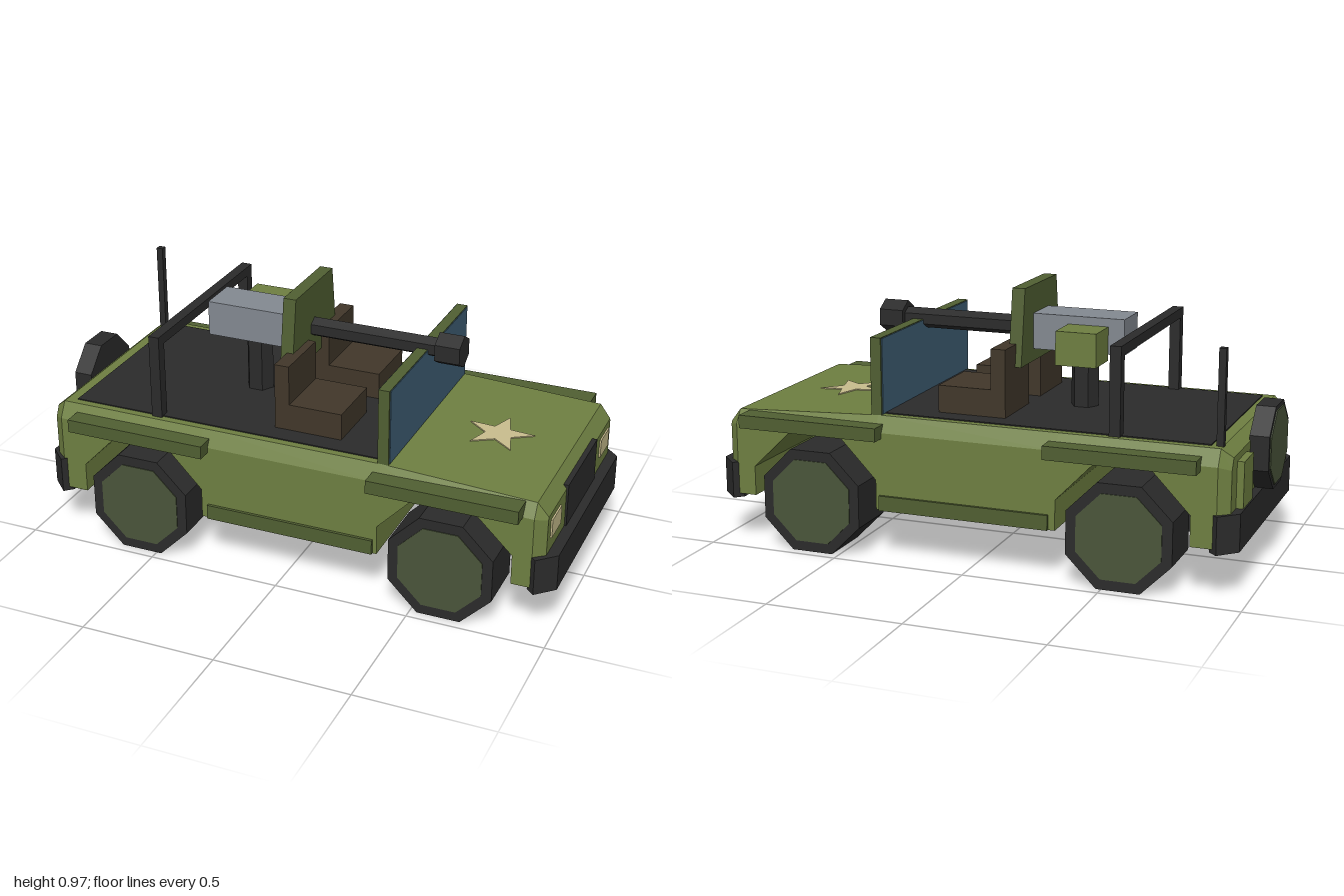
import * as THREE from 'three';

const mat = (name, color) => {
  const m = new THREE.MeshStandardMaterial({ color });
  m.name = name;
  return m;
};

export function createModel() {
  const green = mat('olive green', 0x6e7f41);
  const darkGreen = mat('dark green', 0x505f32);
  const black = mat('charcoal', 0x2b2b2b);
  const hubGreen = mat('hub green', 0x4a553a);
  const glass = mat('window blue', 0x3f5f75);
  const steel = mat('steel grey', 0x838991);
  const brown = mat('seat brown', 0x41372a);
  const tan = mat('pale tan', 0xc8bd8d);

  const model = new THREE.Group();
  model.name = 'openTruck';

  const add = (name, geometry, material, parent = model) => {
    const mesh = new THREE.Mesh(geometry, material);
    mesh.name = name;
    parent.add(mesh);
    return mesh;
  };
  // Box given by its minimum and maximum on each axis
  const box = (name, material, [x0, x1], [y0, y1], [z0, z1], parent) => {
    const g = new THREE.BoxGeometry(x1 - x0, y1 - y0, z1 - z0);
    g.translate((x0 + x1) / 2, (y0 + y1) / 2, (z0 + z1) / 2);
    return add(name, g, material, parent);
  };
  // Faceted cylinder, split so every face is flat
  const prism = (radius, length, sides, turn) => {
    const g = new THREE.CylinderGeometry(radius, radius, length, sides).rotateY(turn).toNonIndexed();
    g.computeVertexNormals();
    return g;
  };
  const octagon = (apothem, length) => prism(apothem / Math.cos(Math.PI / 8), length, 8, Math.PI / 8);

  // Body: cross-sections along x, [x, bottom, shoulder, top, half width, half top width]
  const stations = [[-0.93, 0.18, 0.45, 0.49, 0.4, 0.38], [-0.89, 0.18]];
  for (const [x, y] of [[-0.8, 0.18], [-0.8, 0.29], [-0.66, 0.435], [-0.46, 0.435], [-0.32, 0.29], [-0.32, 0.18],
    [0.36, 0.18], [0.36, 0.29], [0.5, 0.435], [0.7, 0.435], [0.85, 0.29], [0.85, 0.18], [0.92, 0.18]]) stations.push([x, y]);
  stations.push([0.96, 0.18, 0.435, 0.445, 0.4, 0.395]);
  const rings = stations.map(([x, b, s, t, w = 0.432, wt = 0.4]) => {
    const drop = Math.max(0, x - 0.36);
    s ??= 0.465 - drop * 0.035;
    t ??= 0.522 - drop * 0.048;
    return [[x, b, -w], [x, s, -w], [x, t, -wt], [x, t, wt], [x, s, w], [x, b, w]];
  });
  const pos = [];
  const tri = (...corners) => corners.forEach((c) => pos.push(...c));
  for (let i = 0; i < rings.length - 1; i++) {
    for (let j = 0; j < 6; j++) {
      const k = (j + 1) % 6;
      tri(rings[i][j], rings[i][k], rings[i + 1][k]);
      tri(rings[i][j], rings[i + 1][k], rings[i + 1][j]);
    }
  }
  const first = rings[0], last = rings[rings.length - 1];
  for (let j = 1; j < 5; j++) {
    tri(last[0], last[j], last[j + 1]);
    tri(first[0], first[j + 1], first[j]);
  }
  const bodyGeo = new THREE.BufferGeometry();
  bodyGeo.setAttribute('position', new THREE.Float32BufferAttribute(pos, 3));
  bodyGeo.computeVertexNormals();
  add('body', bodyGeo, green);
  box('cargoFloor', black, [-0.85, 0.345], [0.518, 0.526], [-0.372, 0.372]);

  // Parts mirrored on both sides
  for (const s of [1, -1]) {
    const span = (a, b) => (s > 0 ? [a, b] : [-b, -a]);
    box('frontFender', darkGreen, [0.335, 0.88], [0.445, 0.494], span(0.4, 0.485));
    box('rearFender', darkGreen, [-0.83, -0.29], [0.445, 0.494], span(0.4, 0.485));
    box('sideStep', darkGreen, [-0.295, 0.345], [0.18, 0.235], span(0.4, 0.443));
    box('headlight', tan, [0.958, 0.966], [0.35, 0.42], span(0.255, 0.365));
    box('rearPanel', green, [-0.955, -0.92], [0.29, 0.465], span(0.2, 0.33));

    // Wheels
    for (const [name, x] of [['rearWheel', -0.56], ['frontWheel', 0.605]]) {
      const wheel = new THREE.Group();
      wheel.name = name;
      wheel.position.set(x, 0.19, s * 0.362);
      wheel.rotation.x = s * Math.PI / 2;
      add('tyre', octagon(0.19, 0.204), black, wheel);
      add('hub', octagon(0.153, 0.008), hubGreen, wheel).position.y = 0.101;
      model.add(wheel);
    }

    // Seats
    const seat = new THREE.Group();
    seat.name = 'seat';
    box('cushion', brown, [-0.085, 0.17], [0.52, 0.625], span(0.06, 0.298), seat);
    box('backrest', brown, [-0.085, -0.03], [0.62, 0.772], span(0.06, 0.298), seat);
    model.add(seat);

    box('rollBarPost', black, [-0.535, -0.495], [0.52, 0.8], span(0.343, 0.383));
  }
  box('rollBarTop', black, [-0.535, -0.495], [0.8, 0.836], [-0.383, 0.383]);
  box('antenna', black, [-0.892, -0.867], [0.51, 0.855], [-0.372, -0.347]);
  box('grille', black, [0.93, 0.967], [0.29, 0.46], [-0.185, 0.185]);

  // Bumpers with cut corners, drawn in plan and raised
  const bumperGeo = (back, knee, front) => {
    const half = [[back, 0.42], [knee, 0.448], [front, 0.385]];
    const outline = [...half, ...half.map(([x, z]) => [x, -z]).reverse()];
    const shape = new THREE.Shape(outline.map(([x, z]) => new THREE.Vector2(x, z)));
    return new THREE.ExtrudeGeometry(shape, { depth: 0.135, bevelEnabled: false })
      .rotateX(-Math.PI / 2).translate(0, 0.165, 0);
  };
  add('frontBumper', bumperGeo(0.905, 0.935, 1), black);
  add('rearBumper', bumperGeo(-0.865, -0.895, -0.96), black);

  // Spare wheel on the tail
  const spare = new THREE.Group();
  spare.name = 'spareWheel';
  spare.position.set(-0.961, 0.447, 0);
  spare.rotation.z = Math.PI / 2;
  add('spareTyre', octagon(0.148, 0.07), black, spare);
  add('spareHub', octagon(0.132, 0.008), hubGreen, spare).position.y = 0.035;
  model.add(spare);

  // Windshield
  box('windshieldFrame', darkGreen, [0.347, 0.387], [0.5, 0.802], [-0.4, 0.4]);
  for (const x of [0.344, 0.384]) box('windshieldGlass', glass, [x, x + 0.006], [0.524, 0.799], [-0.392, 0.392]);

  // Star on the hood
  const star = new THREE.Shape();
  for (let i = 0; i < 10; i++) {
    const r = i % 2 ? 0.05 : 0.127, a = Math.PI / 2 + i * Math.PI / 5;
    star[i ? 'lineTo' : 'moveTo'](r * Math.cos(a), r * Math.sin(a));
  }
  star.closePath();
  const starGeo = new THREE.ExtrudeGeometry(star, { depth: 0.006, bevelEnabled: false }).rotateX(-Math.PI / 2);
  const hoodStar = add('hoodStar', starGeo, tan);
  hoodStar.position.set(0.655, 0.506, 0);
  hoodStar.rotation.z = -0.048;

  // Mounted gun
  const gun = new THREE.Group();
  gun.name = 'mountedGun';
  add('pedestal', prism(0.052, 0.23, 6, Math.PI / 2), black, gun).position.set(-0.28, 0.63, 0);
  box('receiver', steel, [-0.45, -0.105], [0.735, 0.865], [-0.078, 0.078], gun);
  box('ammoBox', green, [-0.39, -0.24], [0.713, 0.835], [-0.214, -0.076], gun);
  for (const [name, r, x0, x1] of [['barrel', 0.037, -0.08, 0.43], ['muzzle', 0.06, 0.42, 0.513]]) {
    add(name, prism(r, x1 - x0, 6, Math.PI / 2).rotateZ(-Math.PI / 2), black, gun).position.set((x0 + x1) / 2, 0.803, 0);
  }
  const shieldShape = new THREE.Shape([[-0.202, 0.69], [0.202, 0.69], [0.164, 0.968], [-0.164, 0.968]]
    .map(([z, y]) => new THREE.Vector2(z, y)));
  const shieldGeo = new THREE.ExtrudeGeometry(shieldShape, { depth: 0.048, bevelEnabled: false });
  add('gunShield', shieldGeo.rotateY(Math.PI / 2).translate(-0.108, 0, 0), darkGreen, gun);
  model.add(gun);

  return model;
}
